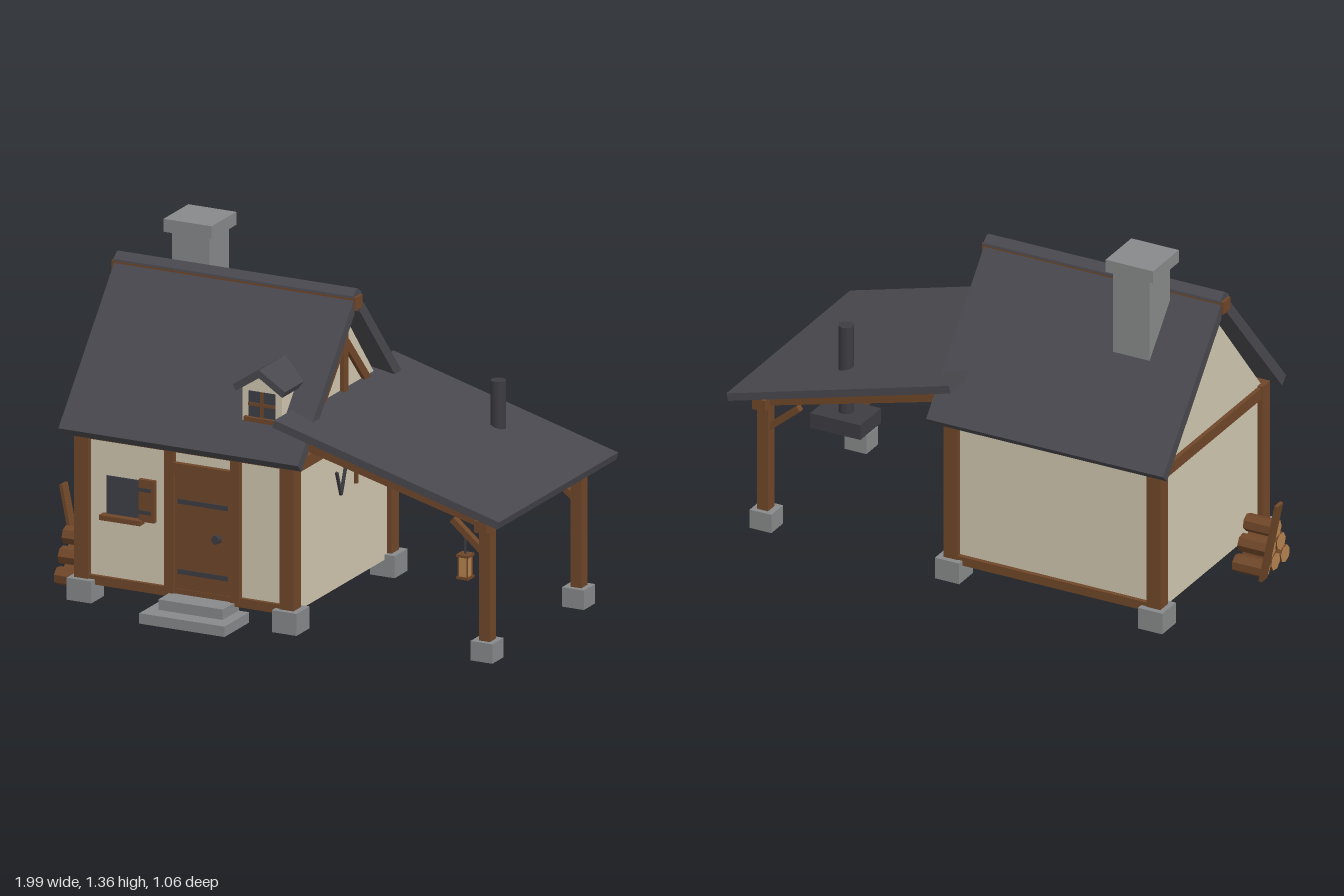
import * as THREE from 'three';

const mat = (name, color) => Object.assign(new THREE.MeshStandardMaterial({ color }), { name });

export function createModel() {
  const plaster = mat('plaster', 0xd0c7b0);
  const timber = mat('timber', 0x704729);
  const slate = mat('slate', 0x49484e);
  const stone = mat('stone', 0x88898a);
  const iron = mat('iron', 0x3c3c42);
  const cutWood = mat('cut wood', 0xb5834f);
  const glass = mat('window glass', 0x3f4048);

  const model = new THREE.Group();
  model.name = 'cottage';
  const ZC = -0.052; // ridge line of the house

  const add = (name, geometry, material) => {
    const m = new THREE.Mesh(geometry, material);
    m.name = name;
    model.add(m);
    return m;
  };
  // Box given by its limits on each axis
  const box = (name, material, x0, x1, y0, y1, z0, z1) => {
    const m = add(name, new THREE.BoxGeometry(x1 - x0, y1 - y0, z1 - z0), material);
    m.position.set((x0 + x1) / 2, (y0 + y1) / 2, (z0 + z1) / 2);
    return m;
  };
  // Straight bar between two points
  const bar = (name, material, a, b, w, h) => {
    const p = new THREE.Vector3(...a), q = new THREE.Vector3(...b);
    const m = add(name, new THREE.BoxGeometry(w, h, p.distanceTo(q)), material);
    m.position.copy(p).add(q).multiplyScalar(0.5);
    m.lookAt(q);
    return m;
  };
  // Profile of [z, y] points swept from x0 to x1
  const prismX = (name, material, pts, x0, x1) => {
    const s = new THREE.Shape(pts.map(([z, y]) => new THREE.Vector2(-z, y)));
    const g = new THREE.ExtrudeGeometry(s, { depth: x1 - x0, bevelEnabled: false });
    return add(name, g.rotateY(Math.PI / 2).translate(x0, 0, 0), material);
  };
  // Profile of [x, y] points swept from z0 to z1
  const prismZ = (name, material, pts, z0, z1) => {
    const s = new THREE.Shape(pts.map(([x, y]) => new THREE.Vector2(x, y)));
    const g = new THREE.ExtrudeGeometry(s, { depth: z1 - z0, bevelEnabled: false });
    return add(name, g.translate(0, 0, z0), material);
  };

  // Walls, open underneath
  box('frontWall', plaster, -0.76, 0.09, 0.065, 0.65, 0.31, 0.35);
  box('backWall', plaster, -0.76, 0.09, 0.065, 0.65, -0.45, -0.41);
  const gable = [[ZC - 0.4, 0.065], [ZC + 0.4, 0.065], [ZC + 0.4, 0.64], [ZC, 1.122], [ZC - 0.4, 0.64]];
  prismX('leftGableWall', plaster, gable, 0.06, 0.1);
  prismX('rightGableWall', plaster, gable, -0.77, -0.73);

  // Corner posts on stone feet
  for (const x of [-0.79, 0.06]) {
    for (const z of [0.312, -0.472]) {
      box('cornerPost', timber, x, x + 0.058, 0.08, 0.655, z, z + 0.06);
      box('postFoot', stone, x - 0.02, x + 0.082, 0, 0.085, z - 0.022, z + 0.082);
    }
    box('sideTopBeam', timber, x + 0.003, x + 0.055, 0.605, 0.65, -0.45, 0.35);
  }
  // Sills and wall plates, front and back
  for (const z of [0.315, -0.468]) {
    box('sill', timber, -0.74, 0.07, 0.065, 0.1, z, z + 0.05);
    box('wallPlate', timber, -0.79, 0.118, 0.625, 0.655, z, z + 0.05);
  }

  // Gable timbers
  box('kingPost', timber, 0.09, 0.118, 0.65, 1.047, ZC - 0.018, ZC + 0.018);
  for (const s of [-1, 1])
    bar('gableBrace', timber, [0.103, 1.0, ZC + s * 0.012], [0.103, 0.66, ZC + s * 0.32], 0.024, 0.034);

  // Main roof, ridge beam and cap
  for (const s of [-1, 1]) {
    const pts = [[0.022, 1.185], [0.473, 0.666], [0.443, 0.636], [0.022, 1.122]];
    prismX('roofSlope', slate, pts.map(([z, y]) => [ZC + s * z, y]), -0.83, 0.162);
  }
  box('ridgeBeam', timber, -0.84, 0.17, 1.14, 1.19, ZC - 0.028, ZC + 0.028);
  prismX('ridgeCap', slate,
    [[-0.035, 1.188], [0.035, 1.188], [0.033, 1.196], [0.007, 1.216], [-0.007, 1.216], [-0.033, 1.196]]
      .map(([z, y]) => [ZC + z, y]), -0.83, 0.162);

  // Chimney
  box('chimneyShaft', stone, -0.627, -0.473, 0.82, 1.32, -0.255, -0.097);
  box('chimneyCap', stone, -0.652, -0.453, 1.31, 1.36, -0.274, -0.076);

  // Dormer
  const DX = -0.035;
  prismZ('dormerBody', plaster,
    [[DX - 0.082, 0.75], [DX + 0.082, 0.75], [DX + 0.082, 0.91], [DX, 0.96], [DX - 0.082, 0.91]], 0.1, 0.325);
  for (const s of [-1, 1])
    prismZ('dormerRoofSlope', slate,
      [[0, 0.987], [0.108, 0.918], [0.096, 0.895], [0, 0.957]].map(([x, y]) => [DX + s * x, y]), 0.13, 0.352);
  box('dormerGlass', glass, DX - 0.055, DX + 0.055, 0.795, 0.895, 0.325, 0.329);
  box('dormerMullion', timber, DX - 0.006, DX + 0.006, 0.795, 0.895, 0.326, 0.333);
  box('dormerTransom', timber, DX - 0.055, DX + 0.055, 0.84, 0.852, 0.326, 0.333);
  box('dormerSill', timber, DX - 0.07, DX + 0.07, 0.78, 0.797, 0.32, 0.342);

  // Door with frame, straps and knob
  for (const x of [-0.417, -0.145]) box('doorPost', timber, x, x + 0.038, 0.08, 0.65, 0.325, 0.372);
  box('doorHeader', timber, -0.38, -0.145, 0.545, 0.585, 0.325, 0.37);
  box('door', timber, -0.378, -0.147, 0.1, 0.545, 0.34, 0.362);
  for (const y of [0.167, 0.438]) box('doorStrap', iron, -0.365, -0.157, y - 0.009, y + 0.009, 0.36, 0.366);
  const knob = add('doorKnob', new THREE.CylinderGeometry(0.017, 0.017, 0.025, 8).rotateX(Math.PI / 2), iron);
  knob.position.set(-0.2, 0.315, 0.37);
  box('lowerStep', stone, -0.44, -0.087, 0, 0.04, 0.33, 0.527);
  box('upperStep', stone, -0.397, -0.13, 0.04, 0.08, 0.33, 0.458);

  // Front window with an open shutter
  box('windowGlass', glass, -0.665, -0.525, 0.34, 0.49, 0.349, 0.356);
  box('windowSill', timber, -0.68, -0.51, 0.325, 0.344, 0.345, 0.387);
  box('shutter', timber, -0.525, -0.46, 0.338, 0.5, 0.352, 0.37);
  for (const y of [0.375, 0.462]) box('shutterHinge', iron, -0.525, -0.472, y - 0.007, y + 0.007, 0.368, 0.374);

  // Lean-to: roof, end beam, posts, rafters and braces
  const leanRoof = bar('leanToRoof', slate, [0.06, 0.814, -0.055], [0.991, 0.557, -0.055], 0.952, 0.03);
  leanRoof.name = 'leanToRoof';
  box('leanToEndBeam', timber, 0.865, 0.918, 0.5, 0.545, -0.473, 0.372);
  for (const z of [0.315, -0.415]) {
    box('leanToPost', timber, 0.87, 0.915, 0.07, 0.51, z - 0.025, z + 0.025);
    box('leanToFoot', stone, 0.845, 0.936, 0, 0.075, z - 0.045, z + 0.045);
    bar('leanToRafter', timber, [0.1, 0.731, z], [0.89, 0.522, z], 0.04, 0.035);
    bar('leanToBrace', timber, [0.75, 0.52, z], [0.885, 0.405, z], 0.026, 0.024);
  }

  // Forge hood and flue
  box('hood', iron, 0.505, 0.715, 0.44, 0.5, -0.4, -0.24);
  add('flue', new THREE.CylinderGeometry(0.03, 0.03, 0.365, 8), iron).position.set(0.608, 0.672, -0.32);

  // Lantern hanging from the front brace
  box('lanternChain', iron, 0.797, 0.803, 0.385, 0.485, 0.312, 0.318);
  box('lanternBody', cutWood, 0.782, 0.818, 0.305, 0.385, 0.297, 0.333);
  for (const y of [0.298, 0.383]) box('lanternCap', timber, 0.775, 0.825, y, y + 0.01, 0.29, 0.34);
  for (const x of [0.779, 0.817])
    for (const z of [0.294, 0.332]) box('lanternEdge', timber, x, x + 0.004, 0.3, 0.39, z, z + 0.004);

  // Tools on the lean-to wall
  for (const z of [0.005, -0.065]) bar('tongArm', iron, [0.107, 0.515, z], [0.107, 0.42, -0.03], 0.01, 0.01);
  for (const z of [-0.152, -0.24]) {
    box('hammerHandle', timber, 0.1, 0.112, 0.43, 0.53, z - 0.006, z + 0.006);
    box('hammerHead', iron, 0.097, 0.121, 0.515, 0.54, z - 0.026, z + 0.026);
  }

  // Log pile: seven-sided logs with pale cut ends
  for (let row = 0; row < 3; row++) {
    for (let i = 0; i < 3 - row; i++) {
      const g = new THREE.CylinderGeometry(0.035, 0.035, 0.125, 7).toNonIndexed();
      g.computeVertexNormals();
      g.clearGroups();
      g.addGroup(0, 42, 0);
      g.addGroup(42, 42, 1);
      g.rotateY(i * 0.6 + row * 0.4).rotateZ(Math.PI / 2);
      add('log', g, [timber, cutWood])
        .position.set(-0.863 - row * 0.003, 0.034 + row * 0.068, 0.092 + i * 0.074 + row * 0.037);
    }
  }
  bar('leaningPlank', timber, [-0.925, 0.004, 0.068], [-0.992, 0.33, 0.068], 0.045, 0.013);

  return model;
}
